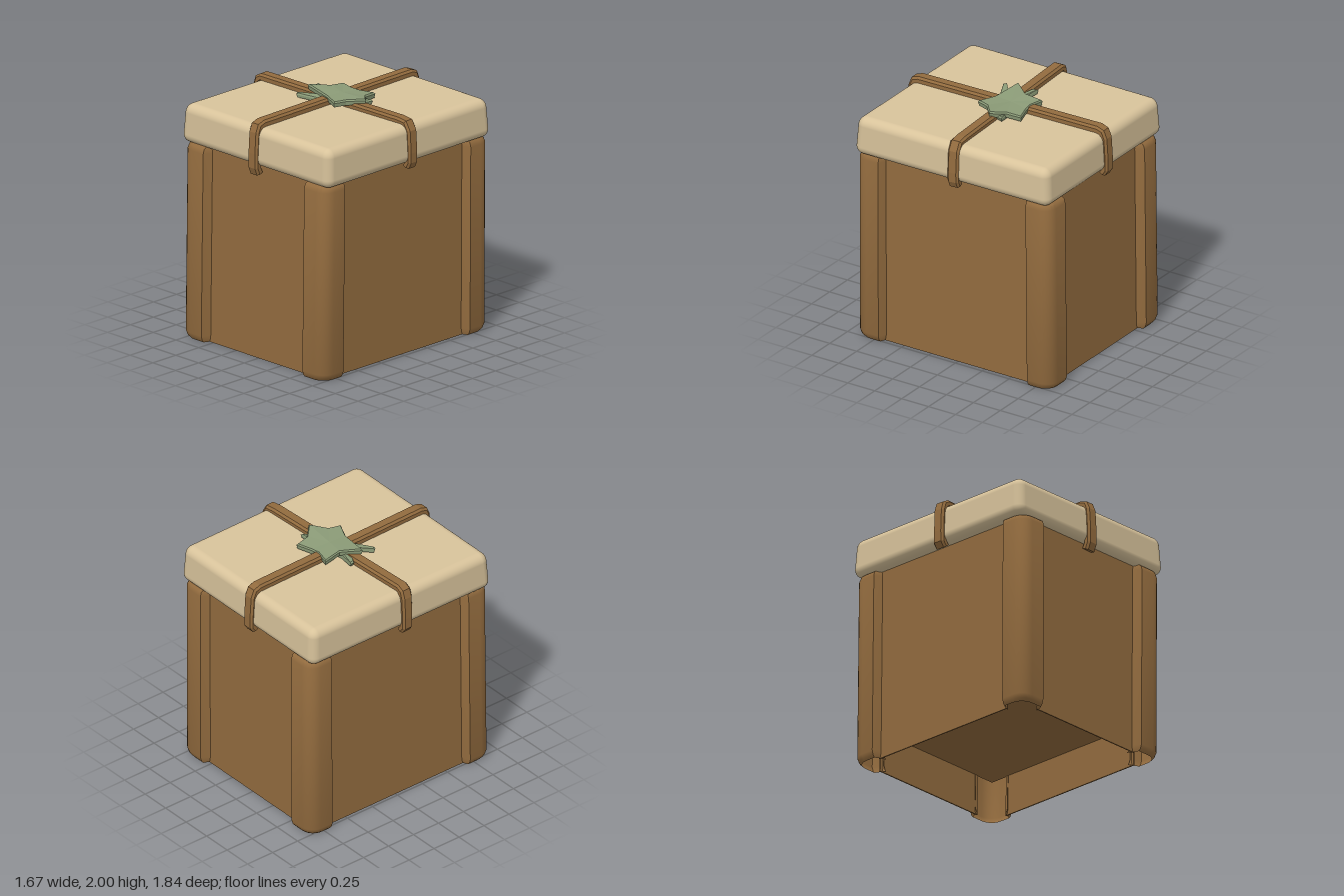
import * as THREE from 'three';
import { toCreasedNormals } from 'three/addons/utils/BufferGeometryUtils.js';
import { RoundedBoxGeometry } from 'three/addons/geometries/RoundedBoxGeometry.js';

const makeMaterial = (name, color, side = THREE.FrontSide) => {
  const m = new THREE.MeshStandardMaterial({ color, side });
  m.name = name;
  return m;
};

// Moves every vertex by a rule
function warp(geometry, rule) {
  const p = geometry.attributes.position;
  const v = new THREE.Vector3();
  for (let i = 0; i < p.count; i++) {
    rule(v.fromBufferAttribute(p, i));
    p.setXYZ(i, v.x, v.y, v.z);
  }
  return geometry;
}

// Slight lean and taper of the hand-made box
const lean = (v) => {
  const t = v.y / 1.6;
  v.x += 0.014 * t - 0.006;
  v.z = v.z * (1 - 0.008 * t) + 0.004;
};

// Unshared triangles from points and triangle indices
function triangles(points, index) {
  const g = new THREE.BufferGeometry();
  g.setAttribute('position', new THREE.Float32BufferAttribute(points.flat(), 3));
  g.setIndex(index);
  const flat = g.toNonIndexed();
  flat.computeVertexNormals();
  return flat;
}

// Hollow L-shaped corner post: a plan outline lofted upward, drawn in at both ends
function postGeometry(sx, sz) {
  const X = 0.787, Z = 0.908, r = 0.105;
  const plan = [[0.515, 0.82], [0.555, Z]];
  for (let i = 0; i <= 6; i++) {
    const a = (i / 6) * Math.PI / 2;
    plan.push([X - r + r * Math.sin(a), Z - r + r * Math.cos(a)]);
  }
  plan.push([X, 0.69], [0.7, 0.65]);
  const rows = [[0, 0.026], [0.02, 0.01], [0.055, 0], [1.55, 0], [1.585, 0.01], [1.603, 0.035], [1.606, 0.08]];
  const n = plan.length, pts = [], idx = [];
  for (const [y, inset] of rows) {
    for (const [x, z] of plan) {
      pts.push([sx * (x > 0.6 ? x - inset : x), y, sz * (z > 0.7 ? z - inset : z)]);
    }
  }
  for (let i = 0; i < rows.length - 1; i++) {
    for (let k = 0; k < n - 1; k++) {
      const a = i * n + k, b = a + 1, c = a + n, d = b + n;
      if (sx * sz > 0) idx.push(a, b, d, a, d, c);
      else idx.push(a, d, b, a, c, d);
    }
  }
  return toCreasedNormals(warp(triangles(pts, idx), lean), 0.75);
}

// Bevelled strap swept along an outer path of [along, height]
function strapGeometry(path) {
  const section = [[-0.05, -0.05], [-0.05, -0.018], [-0.034, 0], [0.034, 0], [0.05, -0.018], [0.05, -0.05]];
  const n = section.length, pts = [], idx = [];
  path.forEach(([u, y], i) => {
    const a = path[Math.max(i - 1, 0)], b = path[Math.min(i + 1, path.length - 1)];
    const t = new THREE.Vector2(b[0] - a[0], b[1] - a[1]).normalize();
    for (const [w, o] of section) pts.push([u - t.y * o, y + t.x * o, w]);
  });
  for (let i = 0; i < path.length - 1; i++) {
    for (let k = 0; k < n; k++) {
      const a = i * n + k, b = i * n + (k + 1) % n;
      idx.push(a, b, b + n, a, b + n, a + n);
    }
  }
  const last = (path.length - 1) * n;
  for (let k = 1; k < n - 1; k++) {
    idx.push(0, k + 1, k, last, last + k, last + k + 1);
  }
  return triangles(pts, idx);
}

// Leafy star from a rim of [x, z, top height], listed clockwise from above
function starGeometry(rim, centre, thick) {
  const n = rim.length;
  const ring = (inset, drop) => rim.map(([x, z, y]) => [
    centre[0] + (x - centre[0]) * inset, y - drop, centre[1] + (z - centre[1]) * inset]);
  const pts = [...ring(0.95, 0), ...ring(1, 0.012), ...ring(0.97, thick),
    [centre[0], centre[2], centre[1]], [centre[0], centre[2] - thick, centre[1]]];
  const idx = [];
  for (let i = 0; i < n; i++) {
    const j = (i + 1) % n;
    idx.push(3 * n, j, i, 3 * n + 1, 2 * n + i, 2 * n + j);
    for (const r of [0, n]) idx.push(r + i, r + j, r + n + j, r + i, r + n + j, r + n + i);
  }
  return triangles(pts, idx);
}

export function createModel() {
  const model = new THREE.Group();
  model.name = 'giftBox';
  const brown = makeMaterial('brown', 0x926b3e, THREE.DoubleSide);
  const cream = makeMaterial('cream', 0xd8c39b);
  const green = makeMaterial('sageGreen', 0x8b9b77);
  const add = (name, geometry, material) => {
    const mesh = new THREE.Mesh(geometry, material);
    mesh.name = name;
    model.add(mesh);
    return mesh;
  };

  // Thin side panels between the posts, set back and open underneath
  for (const s of [-1, 1]) {
    const side = new THREE.BoxGeometry(0.01, 1.61, 1.36).translate(s * 0.715, 0.805, 0);
    add(s > 0 ? 'leftPanel' : 'rightPanel', warp(side, lean), brown);
    const end = new THREE.BoxGeometry(1.1, 1.61, 0.01).translate(0, 0.805, s * 0.832);
    add(s > 0 ? 'frontPanel' : 'backPanel', warp(end, lean), brown);
  }

  // Raised floor
  add('floor', new THREE.BoxGeometry(1.43, 0.03, 1.66).translate(0, 0.35, 0), brown);

  // Corner posts
  for (const sx of [-1, 1]) {
    for (const sz of [-1, 1]) {
      add(`${sz > 0 ? 'front' : 'back'}${sx > 0 ? 'Left' : 'Right'}Post`, postGeometry(sx, sz), brown);
    }
  }

  // Soft lid, flared toward its rim, with slightly uneven corners
  const lid = new RoundedBoxGeometry(1.61, 0.315, 1.78, 5, 0.07).translate(0, 1.748, 0);
  warp(lid, (v) => {
    const flare = 1 + 0.07 * (1.75 - v.y);
    v.x *= flare;
    v.z *= flare;
    if (v.x > 0.5 && v.z > 0.5) { v.x += 0.012; v.z += 0.005; }
    if (v.x < -0.5 && v.z < 0) v.x += 0.006;
  });
  add('lid', lid, cream);

  // Crossed straps
  const across = add('sideToSideStrap', strapGeometry([
    [-0.8, 1.54], [-0.834, 1.585], [-0.835, 1.68], [-0.827, 1.86], [-0.805, 1.93], [-0.75, 1.96],
    [0.7, 1.947], [0.78, 1.935], [0.824, 1.86], [0.835, 1.68], [0.834, 1.6], [0.81, 1.55],
  ]), brown);
  across.rotation.y = 0.042;
  across.position.z = 0.01;
  const along = add('frontToBackStrap', strapGeometry([
    [-0.89, 1.55], [-0.919, 1.595], [-0.919, 1.7], [-0.908, 1.87], [-0.88, 1.935], [-0.82, 1.957],
    [0.82, 1.955], [0.88, 1.935], [0.908, 1.87], [0.919, 1.7], [0.919, 1.58], [0.895, 1.52],
  ]), brown);
  along.rotation.y = -Math.PI / 2 + 0.02;
  along.position.x = -0.018;

  // Star bow in two layers
  add('upperStar', starGeometry([
    [-0.14, -0.22, 1.965], [-0.02, -0.19, 1.965], [0.06, -0.2, 1.96], [0.19, -0.24, 1.96],
    [0.21, -0.12, 1.97], [0.31, -0.02, 1.988], [0.19, 0.08, 1.975], [0.16, 0.18, 1.975],
    [0.02, 0.115, 1.975], [-0.24, 0.07, 2], [-0.13, -0.07, 1.985],
  ], [0.03, -0.04, 1.972], 0.045), green);
  add('lowerStar', starGeometry([
    [-0.285, -0.085, 1.96], [-0.13, -0.05, 1.94], [0.12, -0.1, 1.94], [0.285, -0.12, 1.955],
    [0.24, -0.03, 1.945], [0.1, 0.08, 1.94], [-0.05, 0.125, 1.94], [-0.23, 0.205, 1.96],
    [-0.25, 0.185, 1.96], [-0.12, 0.09, 1.94], [-0.2, 0, 1.94], [-0.28, -0.05, 1.96],
  ], [-0.02, 0, 1.945], 0.035), green);

  return model;
}
